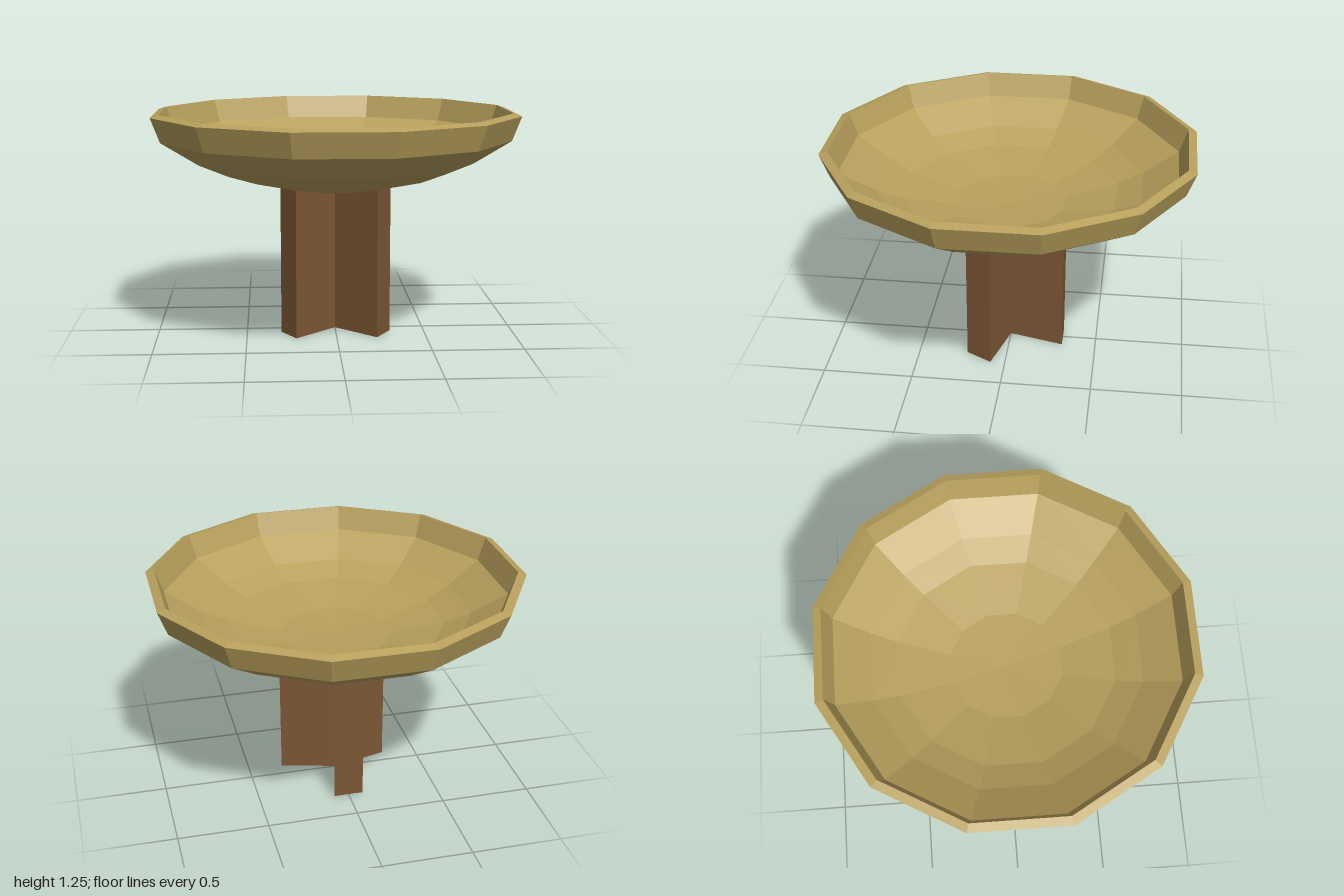
import * as THREE from 'three';

const SIDES = 12;
const STEP = (Math.PI * 2) / SIDES;
// flat-to-flat radius -> corner radius of the twelve-sided ring
const corner = (r) => r / Math.cos(STEP / 2);

export function createModel() {
  const model = new THREE.Group();
  const bowlMaterial = new THREE.MeshStandardMaterial({ color: 0xb8a05c, flatShading: true });
  const legMaterial = new THREE.MeshStandardMaterial({ color: 0x7c5634, flatShading: true });

  // Bowl: outer skin from the bottom up, over the bevelled rim, then down the inside
  const profile = [
    [0, 0.815], [0.3, 0.83], [0.59, 0.9], [0.75, 0.97], [0.95, 1.1], [1, 1.235],
    [0.955, 1.25], [0.91, 1.12], [0.72, 1.005], [0.58, 0.945], [0.3, 0.885], [0, 0.87],
  ].map(([r, y]) => new THREE.Vector2(corner(r), y));
  const bowl = new THREE.Mesh(new THREE.LatheGeometry(profile, SIDES, STEP / 2), bowlMaterial);
  bowl.name = 'bowl';
  model.add(bowl);

  // Pedestal: three wedge-shaped legs meeting along the central axis
  const pedestal = new THREE.Group();
  pedestal.name = 'pedestal';
  const r = corner(0.307);
  const half = STEP / 2;
  const wedge = new THREE.Shape([
    new THREE.Vector2(0, 0),
    new THREE.Vector2(r * Math.cos(half), -r * Math.sin(half)),
    new THREE.Vector2(r * Math.cos(half), r * Math.sin(half)),
  ]);
  const legGeometry = new THREE.ExtrudeGeometry(wedge, { depth: 0.83, bevelEnabled: false });
  legGeometry.rotateX(-Math.PI / 2);
  ['leftLeg', 'backLeg', 'rightLeg'].forEach((name, i) => {
    const leg = new THREE.Mesh(legGeometry, legMaterial);
    leg.name = name;
    leg.rotation.y = -Math.PI / 6 + (i * Math.PI * 2) / 3;
    pedestal.add(leg);
  });
  model.add(pedestal);

  return model;
}
